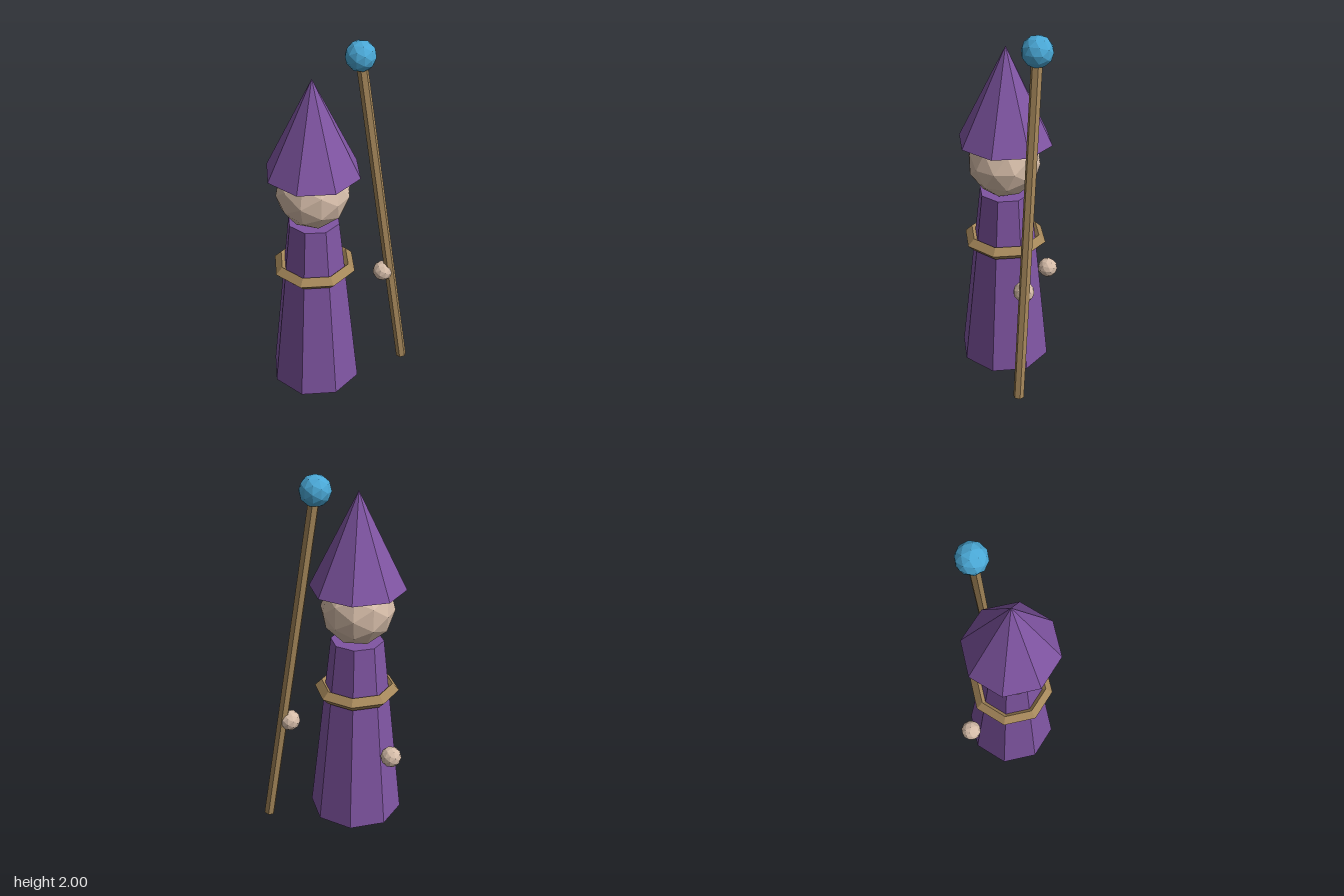
import * as THREE from 'three';

function flat(name, color) {
  const m = new THREE.MeshStandardMaterial({ color });
  m.name = name;
  m.flatShading = true;
  return m;
}

export function createModel() {
  const purple = flat('purple cloth', 0x8055a3);
  const skin = flat('skin', 0xd6bda9);
  const wood = flat('wood', 0xa5875a);
  const leather = flat('dark leather', 0x7a6040);
  const blue = flat('blue orb', 0x4aa8d6);

  const model = new THREE.Group();
  model.name = 'robedFigure';

  const add = (name, geometry, material, x, y, z) => {
    const mesh = new THREE.Mesh(geometry, material);
    mesh.name = name;
    mesh.position.set(x, y, z);
    model.add(mesh);
    return mesh;
  };
  const ball = (name, r, material, x, y, z) =>
    add(name, new THREE.IcosahedronGeometry(r, 1), material, x, y, z);

  // Body axis
  const X = -0.113, Z = 0.016;

  // Octagonal robe, belt and pointed hat
  add('robe', new THREE.CylinderGeometry(0.142, 0.254, 1.04, 8), purple, X, 0.535, Z);
  const belt = new THREE.TorusGeometry(0.192, 0.037, 4, 8).rotateX(Math.PI / 2);
  add('belt', belt, wood, X, 0.766, Z);
  ball('head', 0.197, skin, X, 1.235, 0.022);
  add('hat', new THREE.ConeGeometry(0.254, 0.515, 8), purple, X, 1.608, Z);

  // Feet just showing under the robe
  for (const [name, side] of [['leftFoot', 1], ['rightFoot', -1]]) {
    add(name, new THREE.BoxGeometry(0.09, 0.08, 0.13), leather, X + side * 0.092, 0.04, -0.026);
  }

  // Floating hands
  ball('leftHand', 0.056, skin, 0.222, 0.65, -0.181);
  ball('rightHand', 0.056, skin, -0.322, 0.465, -0.181);

  // Leaning six-sided staff with an orb on top
  const foot = new THREE.Vector3(0.349, 0.05, -0.193);
  const tip = new THREE.Vector3(0.071, 1.92, -0.193);
  const mid = foot.clone().lerp(tip, 0.5);
  const staff = add('staff', new THREE.CylinderGeometry(0.029, 0.029, foot.distanceTo(tip), 6),
    wood, mid.x, mid.y, mid.z);
  staff.rotation.z = Math.atan2(foot.x - tip.x, tip.y - foot.y);
  ball('orb', 0.08, blue, tip.x, tip.y, tip.z);

  return model;
}
